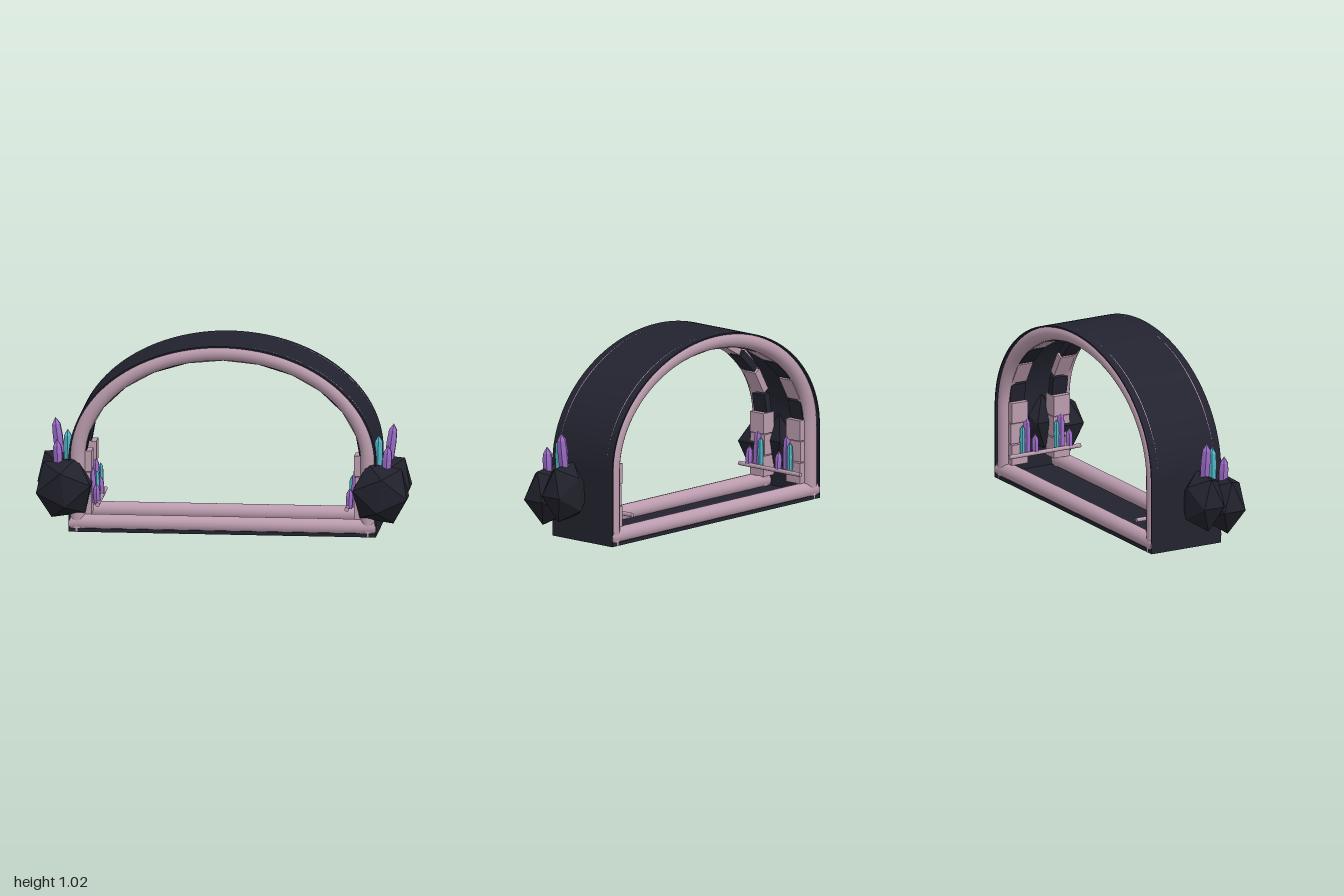
import * as THREE from 'three';
import { toCreasedNormals } from 'three/addons/utils/BufferGeometryUtils.js';

const mat = (name, color, extra = {}) => {
  const m = new THREE.MeshStandardMaterial({ color, ...extra });
  m.name = name;
  return m;
};

const FRONT = 0.17, BACK = -0.26;   // tunnel depth
const SPRING = 0.4;                 // height where the arch starts
const TUBE = 0.0425;                // trim radius

// Outline of straight legs topped by a half ellipse
function archOutline(target, a, b, floorY) {
  target.moveTo(-a, floorY);
  target.lineTo(a, floorY);
  target.lineTo(a, SPRING);
  target.absellipse(0, SPRING, a, b, 0, Math.PI, false, 0);
  target.lineTo(-a, floorY);
  return target;
}

export function createModel() {
  const root = new THREE.Group();
  root.name = 'crystalArchway';
  const dark = mat('darkStone', 0x232330);
  const rockMat = mat('blackRock', 0x20212b);
  const pink = mat('paleRoseStone', 0xbb9cae);
  const purple = mat('purpleCrystal', 0x9c6cc8);
  const cyan = mat('cyanCrystal', 0x52b4c6);
  rockMat.flatShading = purple.flatShading = cyan.flatShading = true;

  const add = (parent, name, geo, material, x = 0, y = 0, z = 0) => {
    const mesh = new THREE.Mesh(geo, material);
    mesh.name = name;
    mesh.position.set(x, y, z);
    parent.add(mesh);
    return mesh;
  };

  // Thin tunnel shell with floor
  const shape = archOutline(new THREE.Shape(), 0.82, 0.62, 0);
  shape.holes.push(archOutline(new THREE.Path(), 0.812, 0.612, 0.02));
  const shell = new THREE.ExtrudeGeometry(shape, {
    depth: FRONT - BACK, bevelEnabled: false, curveSegments: 64,
  });
  add(root, 'tunnelShell', toCreasedNormals(shell, 0.5), dark, 0, 0, BACK);

  // Rounded trim around both openings
  const a = 0.82 - TUBE, b = 0.62 - TUBE;
  const path = new THREE.CurvePath();
  path.add(new THREE.LineCurve3(new THREE.Vector3(a, 0, 0), new THREE.Vector3(a, SPRING, 0)));
  const arc = new THREE.EllipseCurve(0, SPRING, a, b, 0, Math.PI);
  path.add(new THREE.CatmullRomCurve3(arc.getPoints(48).map((p) => new THREE.Vector3(p.x, p.y, 0))));
  path.add(new THREE.LineCurve3(new THREE.Vector3(-a, SPRING, 0), new THREE.Vector3(-a, 0, 0)));
  const trimGeo = new THREE.TubeGeometry(path, 120, TUBE, 16, false);
  const sillGeo = new THREE.CylinderGeometry(TUBE + 0.002, TUBE + 0.002, 1.636, 16).rotateZ(Math.PI / 2);
  for (const [side, z] of [['front', FRONT - TUBE + 0.001], ['back', BACK + TUBE - 0.001]]) {
    add(root, side + 'ArchTrim', trimGeo, pink, 0, 0, z);
    add(root, side + 'Sill', sillGeo, pink, 0, TUBE + 0.003, z);
  }

  // Rows of voussoirs and leg blocks lining the inside
  const point = (t) => new THREE.Vector2(0.735 * Math.cos(t), SPRING + 0.535 * Math.sin(t));
  for (const [side, z] of [['front', 0.085], ['back', -0.175]]) {
    const row = new THREE.Group();
    row.name = side + 'Blocks';
    root.add(row);
    for (let i = 0; i < 12; i++) {
      const p = point((i * Math.PI) / 12), q = point(((i + 1) * Math.PI) / 12);
      const d = q.clone().sub(p), len = d.length();
      const n = new THREE.Vector2(d.y, -d.x).divideScalar(len);
      const mid = p.clone().add(q).multiplyScalar(0.5).addScaledVector(n, 0.02);
      const fromTop = i < 6 ? 5 - i : i - 6;
      const block = add(row, 'archBlock', new THREE.BoxGeometry(len - 0.012, 0.04, 0.09),
        fromTop % 2 ? dark : pink, mid.x, mid.y, z);
      block.rotation.z = Math.atan2(d.y, d.x);
    }
    for (const s of [-1, 1]) {
      for (let i = 0; i < 3; i++) {
        const w = i === 1 ? 0.075 : 0.082;
        add(row, 'legBlock', new THREE.BoxGeometry(w, 0.111, 0.1), pink,
          s * (0.782 - w / 2), 0.145 + i * 0.116, z);
      }
    }
  }

  // Six-sided crystal with a pointed tip, standing on its base
  const crystal = (parent, material, r, h, x, y, z, tilt = 0) => {
    const profile = [[0, 0], [r * 0.9, 0], [r, h * 0.55], [r * 0.85, h - r * 1.3], [0, h]]
      .map(([px, py]) => new THREE.Vector2(px, py));
    const mesh = add(parent, 'crystal', new THREE.LatheGeometry(profile, 6), material, x, y, z);
    mesh.rotation.z = tilt;
  };

  for (const s of [-1, 1]) {
    const side = s > 0 ? 'left' : 'right';

    // Boulders with crystals outside the legs
    const outer = new THREE.Group();
    outer.name = side + 'Boulders';
    root.add(outer);
    const boulder = (x, y, z, w, h, d, tilt) => {
      const geo = new THREE.IcosahedronGeometry(1 / 0.8507, 0);
      const mesh = add(outer, 'boulder', geo, rockMat, s * x, y, z);
      mesh.scale.set(w, h, d);
      mesh.rotation.z = s * tilt;
    };
    boulder(0.845, 0.237, 0.155, 0.147, 0.15, 0.105, -0.15);
    boulder(0.872, 0.267, 0.025, 0.123, 0.148, 0.1, -0.1);
    crystal(outer, purple, 0.029, 0.225, s * 0.875, 0.37, 0.032, s * -0.13);
    crystal(outer, purple, 0.028, 0.16, s * 0.875, 0.338, 0.15, s * -0.06);
    crystal(outer, cyan, 0.027, 0.215, s * 0.825, 0.33, 0.108, s * -0.03);

    // Rail with crystal clusters inside the tunnel
    const inner = new THREE.Group();
    inner.name = side + 'CrystalRail';
    root.add(inner);
    add(inner, 'rail', new THREE.CylinderGeometry(0.012, 0.012, 0.44, 8).rotateX(Math.PI / 2),
      pink, s * 0.665, 0.15, -0.043);
    for (const z of [0.08, -0.13]) {
      crystal(inner, purple, 0.021, 0.11, s * 0.672, 0.145, z + 0.035, s * -0.05);
      crystal(inner, cyan, 0.017, 0.165, s * 0.682, 0.145, z - 0.04);
      crystal(inner, purple, 0.023, 0.2, s * 0.7, 0.145, z, s * -0.03);
    }
  }
  return root;
}
